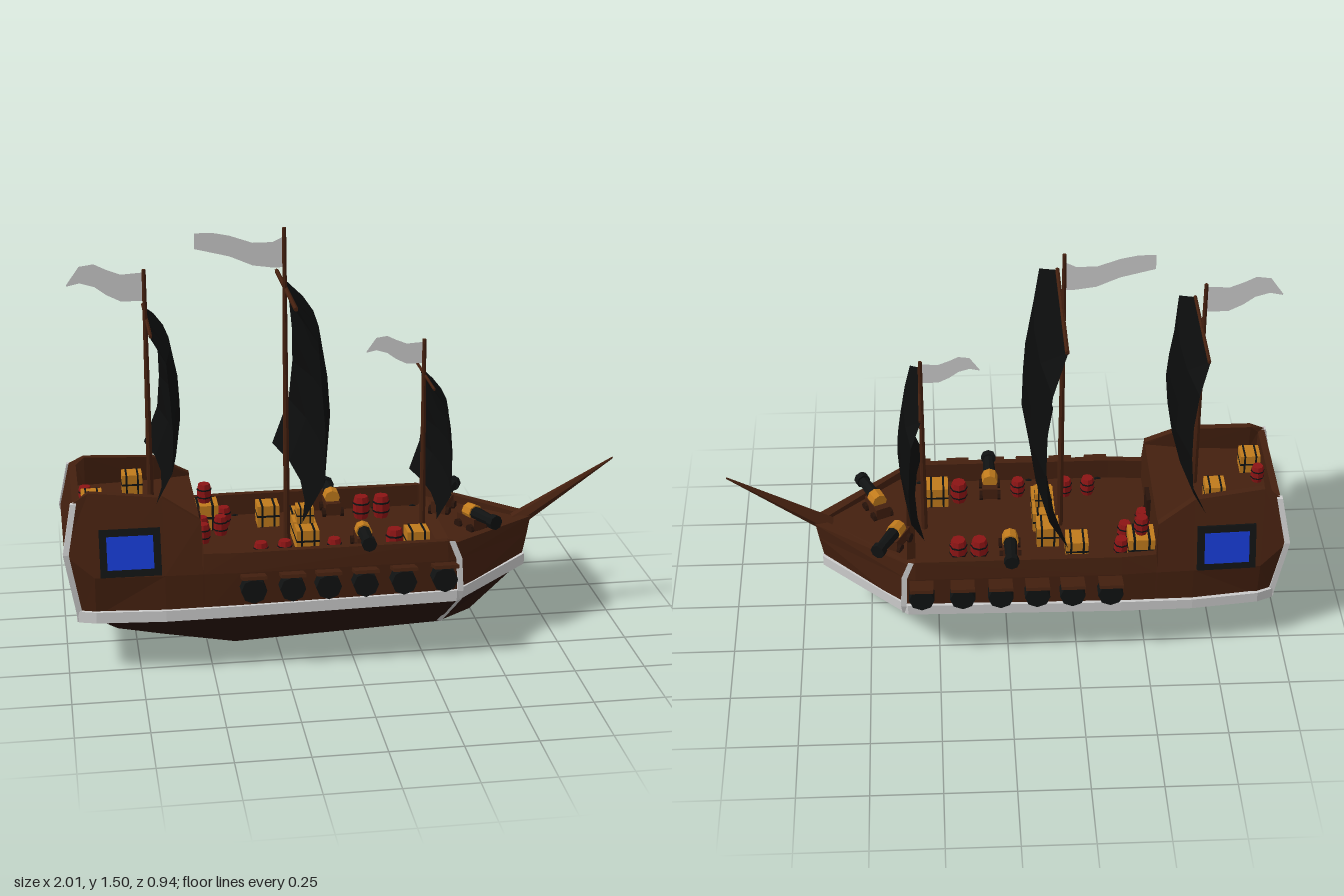
import * as THREE from 'three';

const mat = (color) => new THREE.MeshStandardMaterial({ color, flatShading: true, side: THREE.DoubleSide });
const wood = mat(0x44200f), darkWood = mat(0x28130a), trim = mat(0xcccccc), sailCloth = mat(0x0b0c0c);
const iron = mat(0x101212), glass = mat(0x1538c8), red = mat(0x8c1414), gold = mat(0xc07a1c), flagCloth = mat(0xcccccc);

function add(parent, name, geometry, material, x = 0, y = 0, z = 0) {
  const m = new THREE.Mesh(geometry, material);
  m.name = name;
  m.position.set(x, y, z);
  parent.add(m);
  return m;
}

// Skin between successive polylines of [x, y, z] points
function loft(sections, sides = [1]) {
  const pos = [];
  for (const s of sides) {
    for (let i = 0; i + 1 < sections.length; i++) {
      for (let j = 0; j + 1 < sections[i].length; j++) {
        const a = sections[i][j], b = sections[i + 1][j], c = sections[i + 1][j + 1], d = sections[i][j + 1];
        const order = s > 0 ? [a, b, c, a, c, d] : [a, c, b, a, d, c];
        for (const p of order) pos.push(p[0], p[1], p[2] * s);
      }
    }
  }
  const g = new THREE.BufferGeometry();
  g.setAttribute('position', new THREE.Float32BufferAttribute(pos, 3));
  g.computeVertexNormals();
  return g;
}

// Half hull closed to the centre plane at both ends, then mirrored
function hullSkin(stations) {
  const flat = (st) => st.map(([x, y]) => [x, y, 0]);
  return loft([flat(stations[0]), ...stations, flat(stations.at(-1))], [1, -1]);
}

// Rectangular strip along a path, thick by vectors a and b, on both sides
function strip(path, a, b) {
  const corner = (p, i, j) => p.map((v, k) => v + a[k] * i + b[k] * j);
  const ring = (p) => [[-1, -1], [1, -1], [1, 1], [-1, 1], [-1, -1]].map(([i, j]) => corner(p, i, j));
  const end = (p) => ring(p).map(() => p);
  return loft([end(path[0]), ...path.map(ring), end(path.at(-1))], [1, -1]);
}

function addHull(ship) {
  // keel, bilge and waterline corners
  const lower = [
    [[-0.82, 0.08, 0.06], [-0.9, 0.19, 0.22], [-0.95, 0.22, 0.24]],
    [[-0.66, 0.05, 0.065], [-0.66, 0.195, 0.285], [-0.66, 0.22, 0.3]],
    [[-0.4, 0.005, 0.07], [-0.4, 0.2, 0.3], [-0.4, 0.22, 0.31]],
    [[0.35, 0.03, 0.06], [0.36, 0.21, 0.3], [0.36, 0.23, 0.31]],
    [[0.47, 0.06, 0.03], [0.65, 0.22, 0.02], [0.66, 0.235, 0.02]],
  ].map((s) => [[s[0][0], s[0][1], 0], ...s]);
  add(ship, 'lowerHull', hullSkin(lower), darkWood);

  // waterline, side bend, rail outside, rail inside, deck edge, deck centre
  const upper = [
    [[-0.95, 0.22, 0.24], [-1, 0.45, 0.25], [-0.965, 0.62, 0.21], [-0.94, 0.62, 0.185], [-0.94, 0.54, 0.19]],
    [[-0.9, 0.22, 0.265], [-0.9, 0.37, 0.285], [-0.91, 0.65, 0.2], [-0.91, 0.65, 0.175], [-0.91, 0.54, 0.19]],
    [[-0.66, 0.22, 0.3], [-0.66, 0.37, 0.3], [-0.66, 0.63, 0.225], [-0.66, 0.63, 0.2], [-0.66, 0.54, 0.21]],
    [[-0.53, 0.22, 0.305], [-0.53, 0.37, 0.305], [-0.53, 0.55, 0.26], [-0.53, 0.55, 0.235], [-0.53, 0.54, 0.235]],
    [[-0.525, 0.22, 0.305], [-0.525, 0.37, 0.305], [-0.525, 0.44, 0.29], [-0.525, 0.44, 0.265], [-0.525, 0.36, 0.265]],
    [[-0.4, 0.22, 0.31], [-0.4, 0.37, 0.312], [-0.4, 0.44, 0.3], [-0.4, 0.44, 0.275], [-0.4, 0.36, 0.275]],
    [[0.33, 0.23, 0.31], [0.33, 0.37, 0.31], [0.33, 0.44, 0.3], [0.33, 0.44, 0.275], [0.33, 0.36, 0.275]],
    [[0.36, 0.23, 0.31], [0.36, 0.37, 0.305], [0.36, 0.43, 0.295], [0.36, 0.43, 0.27], [0.36, 0.395, 0.27]],
    [[0.66, 0.235, 0.02], [0.68, 0.35, 0.03], [0.69, 0.41, 0.03], [0.65, 0.41, 0.015], [0.65, 0.395, 0.015]],
  ].map((s) => [...s, [s[4][0], s[4][1], 0]]);
  add(ship, 'upperHull', hullSkin(upper), wood);
  add(ship, 'cabinDoor', new THREE.BoxGeometry(0.015, 0.13, 0.08), darkWood, -0.52, 0.425, 0);

  // pale trim
  const belt = [[-0.96, 0.215, 0.24], [-0.9, 0.22, 0.27], [-0.66, 0.225, 0.303], [-0.4, 0.23, 0.312],
    [0.36, 0.24, 0.312], [0.67, 0.247, 0.025]];
  add(ship, 'beltTrim', strip(belt, [0, 0.02, 0], [0, 0, 0.01]), trim);
  add(ship, 'sternBeltTrim', new THREE.BoxGeometry(0.02, 0.04, 0.49), trim, -0.955, 0.215, 0);
  const rib = [[0.35, 0.03, 0], [0.35, 0.03, 0.06], [0.37, 0.215, 0.3], [0.375, 0.25, 0.308],
    [0.37, 0.37, 0.3], [0.345, 0.435, 0.295]];
  add(ship, 'bowRibTrim', strip(rib, [0.01, 0, 0], [0, 0.006, 0.01]), trim);
  const post = [[-0.955, 0.22, 0.24], [-0.995, 0.45, 0.25], [-0.962, 0.62, 0.21]];
  add(ship, 'sternPostTrim', strip(post, [0.01, 0, 0], [0, 0, 0.01]), trim);

  // bowsprit
  const start = new THREE.Vector3(0.64, 0.385, 0), along = new THREE.Vector3(0.36, 0.225, 0);
  const sprit = add(ship, 'bowsprit', new THREE.CylinderGeometry(0.003, 0.03, along.length(), 6), wood);
  sprit.position.copy(start).addScaledVector(along, 0.5);
  sprit.quaternion.setFromUnitVectors(new THREE.Vector3(0, 1, 0), along.clone().normalize());
}

// Broadside guns with lids, and stern windows
function addSides(ship) {
  for (const s of [1, -1]) {
    for (const x of [-0.36, -0.225, -0.1, 0.03, 0.165, 0.31]) {
      const gun = add(ship, 'broadsideGun', new THREE.CylinderGeometry(0.045, 0.045, 0.1, 8), iron, x, 0.32, s * 0.315);
      gun.rotation.x = Math.PI / 2;
      const lid = add(ship, 'gunLid', new THREE.BoxGeometry(0.085, 0.012, 0.095), wood, x, 0.368, s * 0.345);
      lid.rotation.x = -0.25 * s;
    }
    const win = new THREE.Group();
    win.name = 'sternWindow';
    win.position.set(-0.775, 0.452, s * 0.269);
    win.rotation.set(-0.3 * s, -0.07 * s, 0);
    add(win, 'windowFrame', new THREE.BoxGeometry(0.21, 0.165, 0.024), iron);
    add(win, 'windowPane', new THREE.BoxGeometry(0.16, 0.115, 0.034), glass);
    ship.add(win);
  }
}

// Mast with yard, bellied square sail and waving flag
function addMast(ship, name, x, base, top, sailTop, k, flagTop, f) {
  const g = new THREE.Group();
  g.name = name;
  g.position.x = x;
  ship.add(g);
  add(g, 'mast', new THREE.CylinderGeometry(0.007, 0.012, top - base, 8), wood, 0, (top + base) / 2);
  const yard = add(g, 'yard', new THREE.CylinderGeometry(0.008 * k, 0.008 * k, 0.53 * k, 6), wood, 0.005, sailTop, 0);
  yard.rotation.x = Math.PI / 2;
  // drop below yard, centre x, edge x, half width
  const rows = [[0, 0.01, 0, 0.26], [0.08, 0.1, 0.06, 0.405], [0.26, 0.135, 0.075, 0.39],
    [0.39, 0.142, 0.08, 0.43], [0.55, 0.115, 0.07, 0.47], [0.705, 0.05, 0.0, 0.42]];
  const sail = rows.map(([d, c, e, w]) => [-1, -0.5, 0, 0.5, 1].map((u) =>
    [(e + (c - e) * (1 - u * u)) * k, sailTop - d * k, u * w * k]));
  add(g, 'sail', loft(sail), sailCloth);
  // distance from mast, upper edge, lower edge
  const wave = [[0, 0, -0.1], [0.08, -0.005, -0.1], [0.13, 0.015, -0.075], [0.17, 0.035, -0.045],
    [0.22, 0.028, -0.03], [0.265, -0.035, -0.04]];
  add(g, 'flag', loft(wave.map(([d, a, b]) => [[-d * f, flagTop + a * f, 0], [-d * f, flagTop + b * f, 0]])), flagCloth);
  return g;
}

// The main flag streams out straighter than the other two
function mainFlag() {
  const wave = [[0, 1.48, 1.37], [0.04, 1.46, 1.37], [0.11, 1.46, 1.38], [0.19, 1.488, 1.415], [0.25, 1.5, 1.43], [0.31, 1.5, 1.445]];
  return loft(wave.map(([d, a, b]) => [[-d, a, 0], [-d, b, 0]]));
}

function addBarrel(ship, x, y, z, r = 0.026) {
  const pts = [[0, 0], [0.8, 0], [1, 0.9], [1, 1.8], [0.8, 2.7], [0, 2.7]].map(([a, b]) => new THREE.Vector2(a * r, b * r));
  add(ship, 'barrel', new THREE.LatheGeometry(pts, 8), red, x, y, z);
  for (const h of [0.8, 1.9]) add(ship, 'barrelHoop', new THREE.CylinderGeometry(r * 1.03, r * 1.03, r * 0.2, 8), iron, x, y + h * r, z);
}

function addCrate(ship, x, y, z, s = 0.072) {
  add(ship, 'crate', new THREE.BoxGeometry(s, s, s), gold, x, y + s / 2, z);
  for (const d of [-0.28, 0.28]) {
    add(ship, 'crateBand', new THREE.BoxGeometry(s * 0.09, s * 1.04, s * 1.04), iron, x + d * s, y + s / 2, z);
  }
  add(ship, 'crateBelt', new THREE.BoxGeometry(s * 1.03, s * 0.09, s * 1.03), iron, x, y + s / 2, z);
}

// Deck cannon pointing along its own +z
function addCannon(ship, x, y, z, yaw) {
  const g = new THREE.Group();
  g.name = 'deckCannon';
  g.position.set(x, y, z);
  g.rotation.y = yaw;
  ship.add(g);
  const rod = (name, r1, r2, len, m, at) => {
    add(g, name, new THREE.CylinderGeometry(r1, r2, len, 8), m, 0, 0.015, at).rotation.x = Math.PI / 2;
  };
  rod('gunBarrel', 0.019, 0.025, 0.12, iron, 0.07);
  rod('muzzle', 0.027, 0.027, 0.025, iron, 0.13);
  rod('breech', 0.03, 0.028, 0.045, gold, 0);
  add(g, 'carriage', new THREE.BoxGeometry(0.055, 0.045, 0.1), wood, 0, -0.02, 0);
  for (const sx of [-1, 1]) for (const wz of [-0.035, 0.035]) {
    add(g, 'wheel', new THREE.CylinderGeometry(0.018, 0.018, 0.012, 8), darkWood, sx * 0.033, -0.035, wz).rotation.z = Math.PI / 2;
  }
}

export function createModel() {
  const ship = new THREE.Group();
  ship.name = 'sailingShip';
  addHull(ship);
  addSides(ship);

  addMast(ship, 'mizzenMast', -0.685, 0.5, 1.38, 1.2, 0.785, 1.37, 1);
  addMast(ship, 'foreMast', 0.295, 0.34, 1.09, 0.955, 0.63, 1.08, 0.78);
  const main = addMast(ship, 'mainMast', -0.2, 0.34, 1.51, 1.29, 1, 1.47, 1);
  main.getObjectByName('flag').geometry = mainFlag();

  // deck cargo
  const deck = 0.36, aft = 0.54;
  for (const [x, z, r] of [[-0.5, -0.09], [-0.43, -0.09], [-0.5, -0.02], [-0.41, -0.18], [-0.315, 0.185], [-0.23, 0.18],
    [-0.055, 0.185], [0.1, -0.18, 0.031], [0.175, -0.18, 0.031], [0.165, 0.16, 0.031]]) addBarrel(ship, x, deck, z, r);
  addBarrel(ship, -0.48, 0.455, -0.18);
  addBarrel(ship, -0.915, aft, 0, 0.024);
  addCrate(ship, -0.48, deck, -0.18, 0.094);
  for (const [x, z] of [[-0.25, -0.175], [0.245, 0.16], [-0.14, 0.0], [-0.14, 0.09], [-0.15, -0.09]]) addCrate(ship, x, deck, z, 0.08);
  addCrate(ship, -0.14, deck + 0.08, 0.03, 0.06);
  addCrate(ship, -0.895, aft, 0.08);
  addCrate(ship, -0.745, aft, -0.1);

  addCannon(ship, -0.01, 0.433, -0.185, Math.PI);
  addCannon(ship, 0.05, 0.433, 0.17, 0);
  addCannon(ship, 0.395, 0.438, -0.125, Math.PI - 0.5);
  addCannon(ship, 0.465, 0.438, 0.06, 0.45);
  return ship;
}
